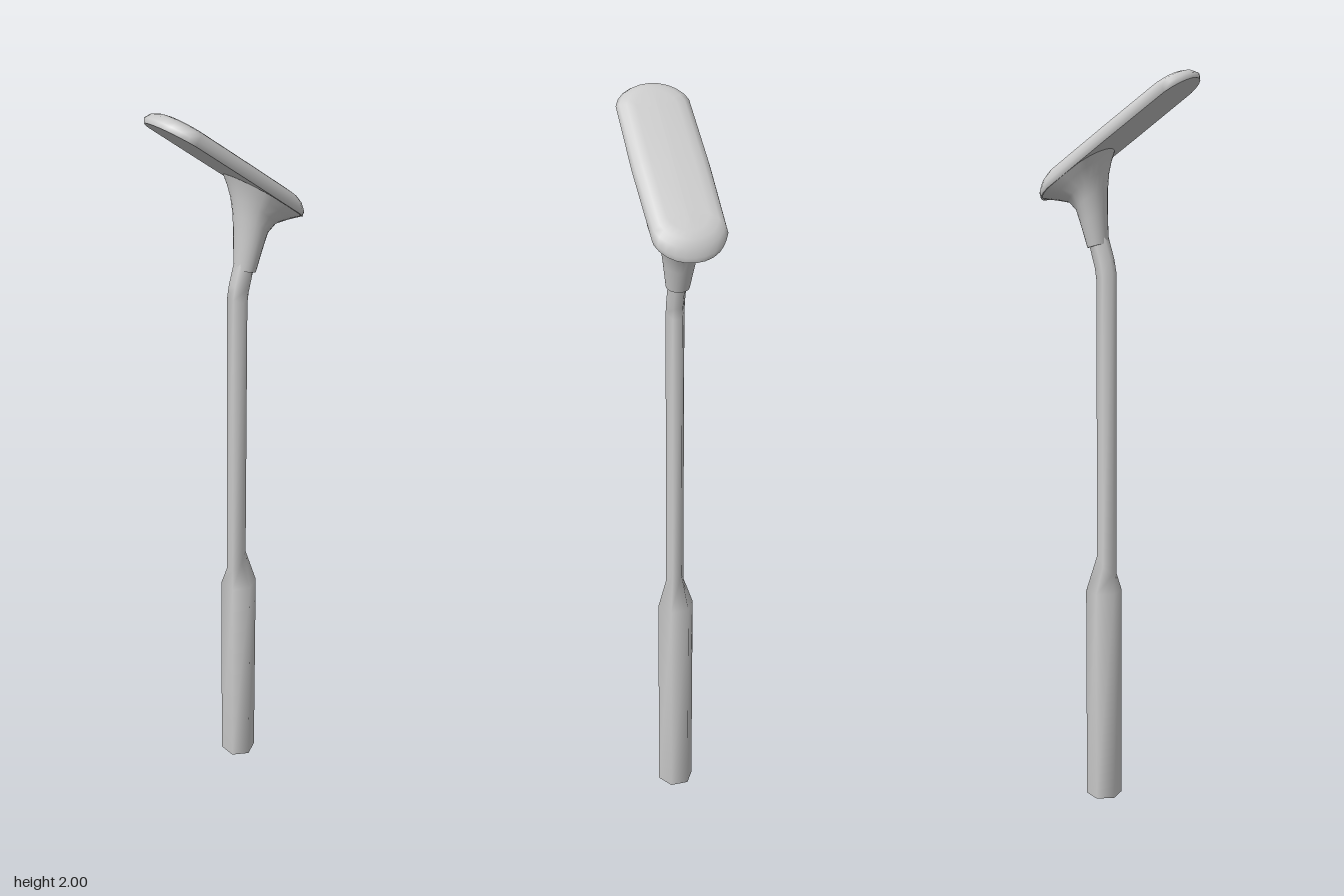
import * as THREE from 'three';

const material = new THREE.MeshStandardMaterial({ color: 0xcccccc, side: THREE.DoubleSide });

// Skin a surface over rings. Each ring is [front [z, y], back [z, y], half width, roundness];
// roundness 1 is an ellipse, less gives straight sides with rounded ends.
function loft(name, rings, sides) {
  const angles = Array.from({ length: sides }, (_, j) => (j / sides) * Math.PI * 2);
  const reach = Math.max(...angles.map(Math.sin));
  const positions = [];
  const index = [];
  rings.forEach(([front, back, halfWidth, round = 1], i) => {
    angles.forEach((angle, j) => {
      const sin = Math.abs(Math.sin(angle)) < 1e-6 ? 0 : Math.sin(angle) / reach;
      const s = Math.sign(sin) * (1 - round) + round * sin;
      const k = (s + 1) / 2;
      positions.push(
        halfWidth * Math.cos(angle),
        back[1] + (front[1] - back[1]) * k,
        back[0] + (front[0] - back[0]) * k
      );
      if (i < rings.length - 1) {
        const a = i * sides + j;
        const b = i * sides + ((j + 1) % sides);
        index.push(a, a + sides, b, b, a + sides, b + sides);
      }
    });
  });
  const geometry = new THREE.BufferGeometry();
  geometry.setAttribute('position', new THREE.Float32BufferAttribute(positions, 3));
  geometry.setIndex(index);
  geometry.computeVertexNormals();
  const mesh = new THREE.Mesh(geometry, material);
  mesh.name = name;
  return mesh;
}

// Ring parallel to the sloping head: u runs up the slope, w is height above its underside
function headRing(w, uBack, uFront, halfWidth, round) {
  const at = (u) => [0.805 * u - 0.593 * w, 1.82 + 0.593 * u + 0.805 * w];
  return [at(uFront), at(uBack), halfWidth, round];
}

export function createModel() {
  const group = new THREE.Group();

  // Six-sided handle, open at the bottom, tapering into the slim bent shaft
  group.add(loft('handleAndShaft', [
    [[0, 0], [-0.085, 0], 0.05],
    [[0, 0.6], [-0.085, 0.6], 0.05],
    [[-0.01, 0.65], [-0.057, 0.7], 0.025],
    [[-0.01, 1.48], [-0.057, 1.46], 0.025],
    [[-0.016, 1.515], [-0.061, 1.49], 0.025],
    [[-0.032, 1.57], [-0.077, 1.55], 0.025],
    [[-0.042, 1.61], [-0.087, 1.59], 0.025],
  ], 6));

  // Neck flaring out to the rear half of the head
  group.add(loft('neck', [
    [[-0.03, 1.558], [-0.085, 1.543], 0.031],
    [[-0.034, 1.64], [-0.102, 1.6], 0.042],
    [[-0.035, 1.7], [-0.115, 1.64], 0.051],
    [[-0.033, 1.745], [-0.135, 1.66], 0.063, 0.9],
    [[-0.028, 1.78], [-0.17, 1.665], 0.081, 0.8],
    [[-0.022, 1.803], [-0.206, 1.667], 0.094, 0.7],
  ], 24));
  group.add(loft('neckUnderside', [
    [[-0.03, 1.558], [-0.085, 1.543], 0],
    [[-0.03, 1.558], [-0.085, 1.543], 0.031],
  ], 24));

  // Sloping pill-shaped head with a softly rounded upper face
  const headBase = headRing(0, -0.262, 0.272, 0.095, 0.32);
  group.add(loft('head', [
    headBase,
    headRing(0.012, -0.256, 0.278, 0.1, 0.32),
    headRing(0.027, -0.237, 0.268, 0.094, 0.32),
    headRing(0.036, -0.218, 0.252, 0.078, 0.3),
    headRing(0.04, -0.195, 0.235, 0.055, 0.28),
    headRing(0.041, -0.16, 0.2, 0, 0.2),
  ], 24));
  group.add(loft('headUnderside', [headRing(0, -0.18, 0.19, 0, 0.2), headBase], 24));

  return group;
}
